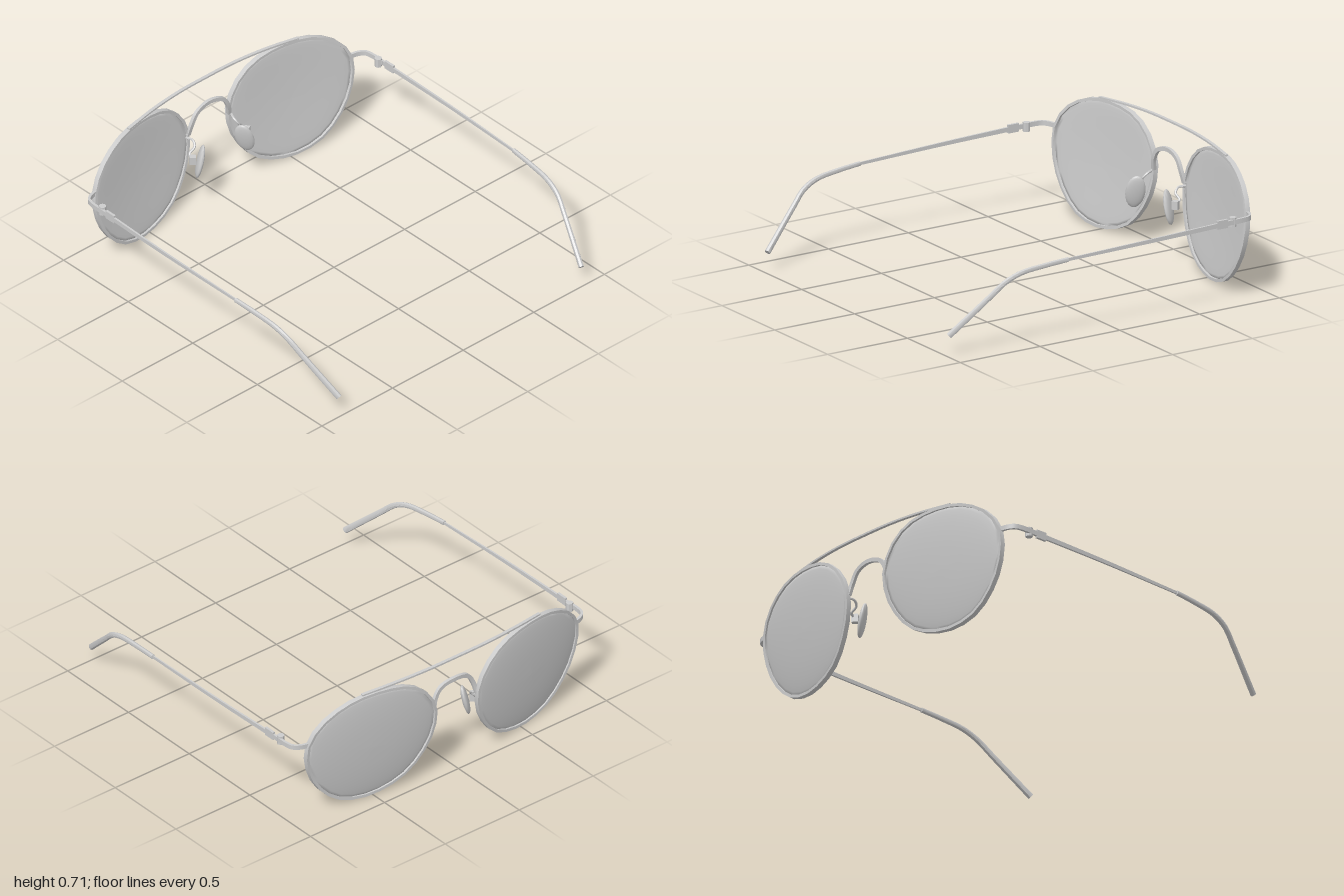
import * as THREE from 'three';
import { toCreasedNormals } from 'three/addons/utils/BufferGeometryUtils.js';

const V = (x, y, z) => new THREE.Vector3(x, y, z);
const material = new THREE.MeshStandardMaterial({ color: 0xcccccc, side: THREE.DoubleSide });

// Surface through a list of equally sized rings
function skin(rings, closed = false, caps = true) {
  const n = rings[0].length, m = rings.length, index = [];
  for (let i = 0; i < (closed ? m : m - 1); i++) {
    for (let j = 0; j < n; j++) {
      const k = (i + 1) % m, l = (j + 1) % n;
      const a = i * n + j, b = i * n + l, c = k * n + l, d = k * n + j;
      index.push(a, b, c, a, c, d);
    }
  }
  if (caps && !closed) {
    const e = (m - 1) * n;
    for (let j = 1; j < n - 1; j++) index.push(0, j + 1, j, e, e + j, e + j + 1);
  }
  const geo = new THREE.BufferGeometry().setFromPoints(rings.flat());
  geo.setIndex(index);
  return geo;
}

// Sweep a section along a path; ra lies along ref, rb across it, size(t) tapers
function sweep(points, ref, ra, rb, { sides = 4, steps = 20, closed = false, size = () => 1 } = {}) {
  const curve = new THREE.CatmullRomCurve3(points, closed, 'centripetal');
  const rings = [];
  const spin = sides === 4 ? Math.PI / 4 : 0;
  const grow = sides === 4 ? Math.SQRT2 : 1;
  for (let i = 0; i < (closed ? steps : steps + 1); i++) {
    const t = i / steps, p = curve.getPointAt(t), T = curve.getTangentAt(t);
    const a = ref.clone().addScaledVector(T, -ref.dot(T)).normalize();
    const b = T.clone().cross(a);
    const s = size(t) * grow;
    rings.push(Array.from({ length: sides }, (_, j) => {
      const q = spin + (j / sides) * Math.PI * 2;
      return p.clone().addScaledVector(a, Math.cos(q) * ra * s).addScaledVector(b, Math.sin(q) * rb * s);
    }));
  }
  return skin(rings, closed);
}

// Mirrored copy across x = 0 with its winding restored
function mirror(geo) {
  const g = geo.clone().scale(-1, 1, 1);
  const ix = g.index.array;
  for (let i = 0; i < ix.length; i += 3) [ix[i], ix[i + 1]] = [ix[i + 1], ix[i]];
  return g;
}

// Gently curved, tilted surface holding the lens and rim
const CX = 0.54, CY = 0.34;
const faceZ = (x, y) => {
  const dx = x - CX, dy = y - CY;
  return -0.932 + 0.165 * dx - 0.1 * dy + 0.14 * (dx * dx + dy * dy);
};

export function createModel() {
  const group = new THREE.Group();
  const X = V(1, 0, 0), Y = V(0, 1, 0), Z = V(0, 0, 1);

  const add = (name, geo, crease = 0.7) => {
    const mesh = new THREE.Mesh(toCreasedNormals(geo, crease), material);
    mesh.name = name;
    group.add(mesh);
  };
  const pair = (name, geo, crease) => {
    geo.deleteAttribute('uv');
    geo.deleteAttribute('normal');
    add('left' + name, geo, crease);
    add('right' + name, mirror(geo), crease);
  };

  // Lens outline, counterclockwise
  const outline = [
    [0.905, 0.46], [0.84, 0.57], [0.70, 0.655], [0.54, 0.682], [0.34, 0.655], [0.225, 0.58],
    [0.15, 0.45], [0.15, 0.335], [0.19, 0.22], [0.28, 0.1], [0.375, 0.043], [0.53, 0.012],
    [0.675, 0.038], [0.77, 0.1], [0.862, 0.22], [0.905, 0.35],
  ].map(([x, y]) => V(x, y, faceZ(x, y)));
  const edge = new THREE.CatmullRomCurve3(outline, true).getSpacedPoints(28).slice(0, 28);

  // Rims
  pair('Rim', sweep(outline, Z, 0.014, 0.008, { steps: 28, closed: true }));

  // Lenses: thin solids with softly rounded edges
  const rows = 14, lens = [];
  for (let k = 0; k <= rows; k++) {
    const phi = 0.001 + (k / rows) * (Math.PI - 0.002);
    const s = Math.sin(phi) ** 0.7;
    lens.push(edge.map((p) => {
      const x = CX + (p.x - CX) * s, y = CY + (p.y - CY) * s;
      return V(x, y, faceZ(x, y) - 0.012 * Math.cos(phi));
    }));
  }
  pair('Lens', skin(lens), 3.1);

  // Top bar resting on both rims
  const half = [[0.6, 0.69, -0.935], [0.4, 0.7, -0.967], [0.2, 0.705, -0.985]];
  add('topBar', sweep([
    ...half.map(([x, y, z]) => V(-x, y, z)), V(0, 0.706, -0.988),
    ...half.reverse().map(([x, y, z]) => V(x, y, z)),
  ], Z, 0.009, 0.005));

  // Arched bridge
  const arch = [[0.145, 0.41, -0.972], [0.128, 0.475, -0.962], [0.09, 0.533, -0.962]];
  add('bridge', sweep([
    ...arch.map(([x, y, z]) => V(-x, y, z)), V(0, 0.556, -0.968),
    ...arch.reverse().map(([x, y, z]) => V(x, y, z)),
  ], Z, 0.009, 0.011, { steps: 24 }));

  // Nose pads with their mounts and wire arms
  const pad = new THREE.SphereGeometry(1, 16, 12).scale(0.018, 0.095, 0.052);
  pad.rotateY(Math.PI / 5).rotateZ(0.27).translate(0.157, 0.302, -0.865);
  pair('NosePad', pad, 1.2);
  const mount = new THREE.BoxGeometry(0.035, 0.045, 0.03);
  mount.rotateY(Math.PI / 5).translate(0.192, 0.318, -0.885);
  pair('PadMount', mount);
  pair('PadArm', sweep([
    V(0.16, 0.4, -0.972), V(0.145, 0.395, -0.935), V(0.155, 0.37, -0.91),
    V(0.185, 0.34, -0.915), V(0.195, 0.32, -0.89),
  ], X.clone().add(Y).normalize(), 0.007, 0.007, { sides: 6 }));

  // End pieces wrapping from rim to temple
  pair('EndPiece', sweep([
    V(0.9, 0.465, -0.862), V(0.945, 0.467, -0.85), V(0.978, 0.468, -0.825),
    V(0.988, 0.468, -0.78), V(0.988, 0.467, -0.7),
  ], Y, 0.013, 0.007, { steps: 14 }));

  // Hinges: barrel inside the frame and a collar on the temple
  pair('HingeBarrel', new THREE.CylinderGeometry(0.02, 0.02, 0.05, 8).translate(0.976, 0.465, -0.725));
  pair('HingeCollar', new THREE.BoxGeometry(0.014, 0.046, 0.066).translate(0.988, 0.467, -0.65));

  // Slim tapering temples
  pair('Temple', sweep([V(0.988, 0.467, -0.71), V(0.992, 0.456, -0.2), V(0.984, 0.443, 0.34)],
    Y, 0.013, 0.006, { size: (t) => 1 - 0.4 * t }));

  // Curved ear tips
  pair('EarTip', sweep([
    V(0.985, 0.444, 0.315), V(0.977, 0.434, 0.45), V(0.966, 0.414, 0.6), V(0.953, 0.373, 0.69),
    V(0.93, 0.305, 0.765), V(0.858, 0.108, 0.977),
  ], Y, 0.016, 0.014, { sides: 8, steps: 24, size: (t) => 0.85 + 0.25 * t }));

  return group;
}
